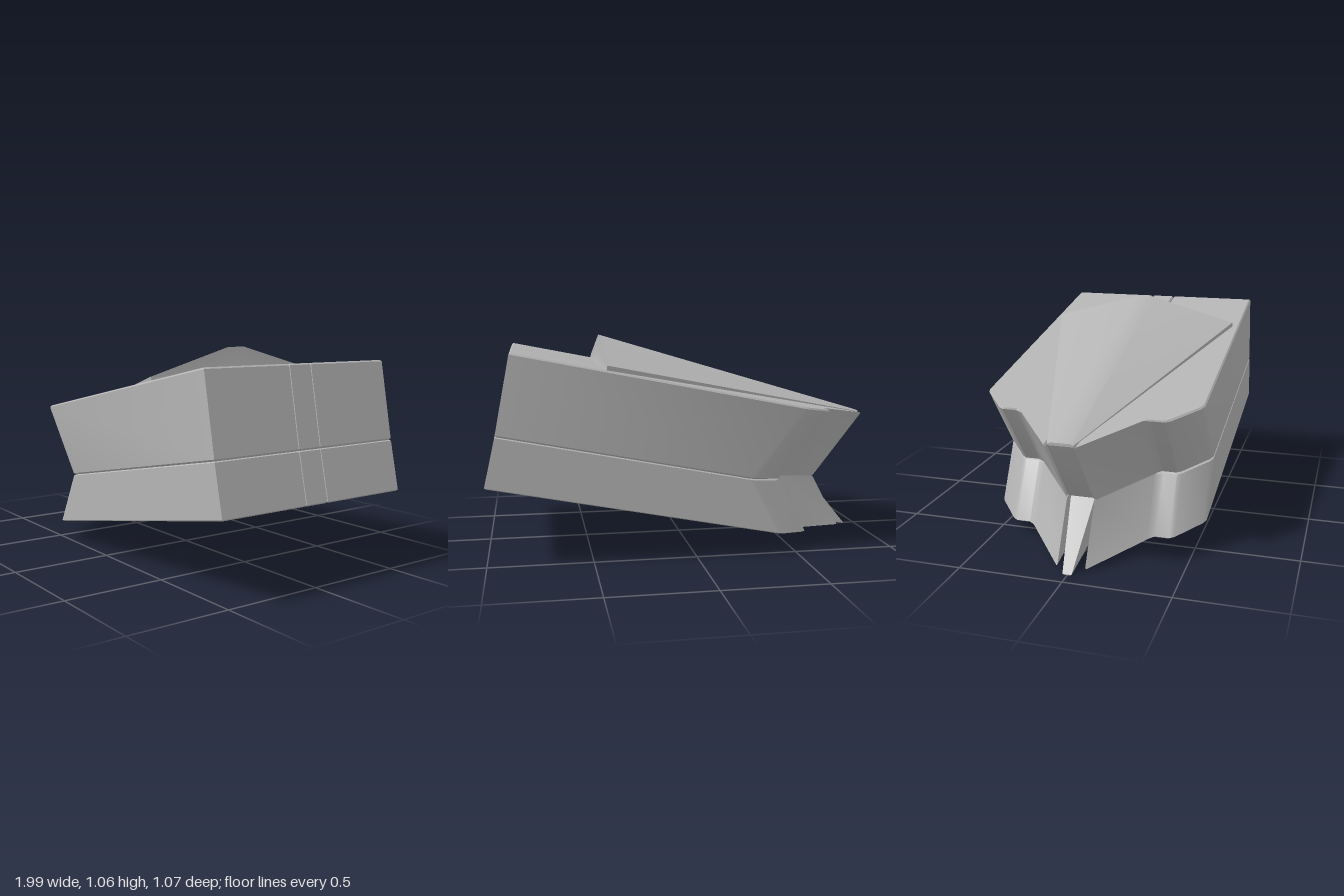
import * as THREE from 'three';
import { toCreasedNormals } from 'three/addons/utils/BufferGeometryUtils.js';

// Sloping planes of the hull: height at the back end, x of the back end, shift of the nose
const SLOPE = 0.197;
const TOP = { x: 0.87, y: 1.0, shift: 0 };
const SEAM = { x: 0.945, y: 0.62, shift: 0.27 };
const BOTTOM = { x: 1.0, y: 0.38, shift: 0.12 };
const heightOn = (plane, x) => plane.y + SLOPE * (x - plane.x);

// Closed skin over a list of rings with equal point counts
function loft(rings, crease = 0.5) {
  const pos = [];
  const tri = (a, b, c) => pos.push(...a, ...b, ...c);
  const n = rings[0].length;
  const centre = (ring) => [0, 1, 2].map((k) => ring.reduce((s, p) => s + p[k], 0) / n);
  const first = rings[0], last = rings[rings.length - 1];
  const c0 = centre(first), c1 = centre(last);
  for (let i = 0; i < n; i++) {
    const j = (i + 1) % n;
    tri(c0, first[i], first[j]);
    tri(c1, last[j], last[i]);
    for (let r = 0; r < rings.length - 1; r++) {
      const a = rings[r], b = rings[r + 1];
      tri(a[i], b[i], b[j]);
      tri(a[i], b[j], a[j]);
    }
  }
  const geo = new THREE.BufferGeometry();
  geo.setAttribute('position', new THREE.Float32BufferAttribute(pos, 3));
  geo.computeVertexNormals();
  return toCreasedNormals(geo, crease);
}

// Bevelled slab between two planes; outlines are [x, z] lists
function slab(planeA, outlineA, planeB, outlineB, zMid) {
  const steps = [[0, 0.007], [0.02, 0], [0.98, 0], [1, 0.007]];
  return loft(steps.map(([t, inset]) => outlineA.map(([xa, za], i) => {
    const [xb, zb] = outlineB[i];
    const x = xa + (xb - xa) * t, z = za + (zb - za) * t;
    const y = THREE.MathUtils.lerp(heightOn(planeA, xa), heightOn(planeB, xb), t);
    const dx = -Math.sign(x) * inset;
    return [x + dx, y + dx * SLOPE, z - Math.sign(z - zMid) * Math.min(inset, Math.abs(z - zMid))];
  })));
}

// Plan of a side block: stepped diagonal nose, straight outer side, square back
const NOSE = [[-1, 0.067], [-0.725, 0.285], [-0.705, 0.32], [-0.705, 0.39], [-0.69, 0.412], [-0.555, 0.522], [-0.525, 0.535]];
function sideOutline(plane, side) {
  const pts = NOSE.map(([x, z]) => [x + plane.shift, z * side]);
  pts.push([plane.x, 0.535 * side], [plane.x, 0.067 * side]);
  return side > 0 ? pts : pts.reverse();
}

// Plan of a centre strip, with its own half width at the nose
const stripOutline = (plane, noseX, half) =>
  [[noseX, -half], [noseX, half], [plane.x, 0.062], [plane.x, -0.062]];

export function createModel() {
  const group = new THREE.Group();
  const grey = new THREE.MeshStandardMaterial({ color: 0xb4b4b4 });
  grey.name = 'hullGrey';
  const add = (name, geo) => {
    const mesh = new THREE.Mesh(geo, grey);
    mesh.name = name;
    group.add(mesh);
  };

  // Four main blocks
  for (const [side, label] of [[1, 'Left'], [-1, 'Right']]) {
    const [top, seam, bottom] = [TOP, SEAM, BOTTOM].map((p) => sideOutline(p, side));
    add('upperBlock' + label, slab(TOP, top, SEAM, seam, 0.3 * side));
    add('lowerBlock' + label, slab(SEAM, seam, BOTTOM, bottom, 0.3 * side));
  }

  // Centre strips; the lower one narrows into a keel at the nose
  add('upperStrip', slab(TOP, stripOutline(TOP, -0.985, 0.062), SEAM, stripOutline(SEAM, -0.72, 0.062), 0));
  add('lowerStrip', slab(SEAM, stripOutline(SEAM, -0.69, 0.06), BOTTOM, stripOutline(BOTTOM, -0.94, 0.021), 0));

  // Raised wedge on top, spreading from the nose to the back
  const nose = [[0.06, 0.63], [0.06, 0.637], [0.045, 0.643], [-0.045, 0.643], [-0.06, 0.637], [-0.06, 0.63], [0, 0.63]]
    .map(([z, y]) => [-0.985, y, z]);
  const back = [[0.43, 0.91, 0.5], [0.425, 0.935, 0.5], [0.42, 1.06, 0.05], [0.42, 1.06, -0.05],
    [0.425, 0.935, -0.5], [0.43, 0.91, -0.5], [0.45, 0.912, 0]];
  add('topWedge', loft([nose, back]));

  return group;
}
